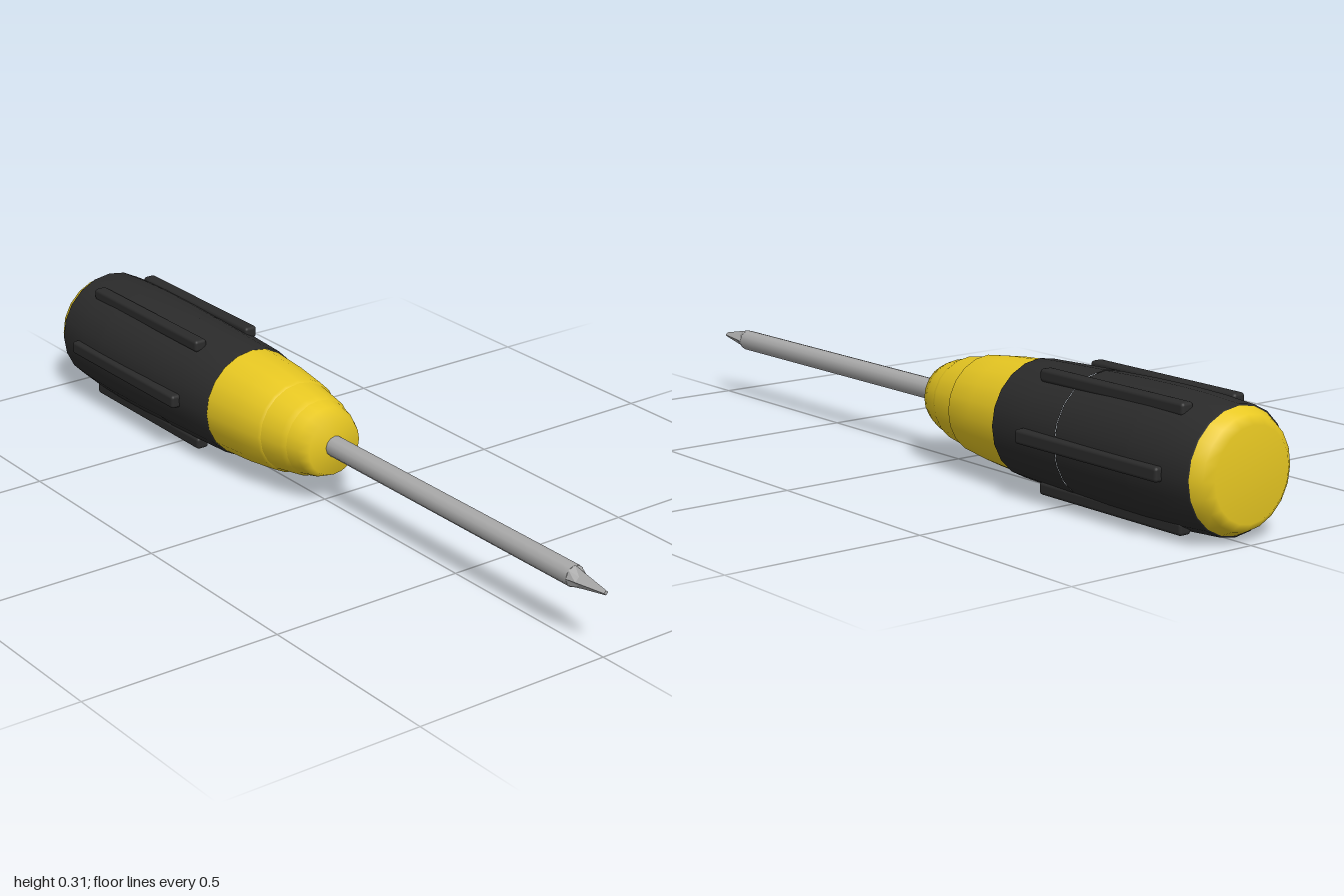
import * as THREE from 'three';
import { RoundedBoxGeometry } from 'three/addons/geometries/RoundedBoxGeometry.js';

const AXIS_Y = 0.156;

export function createModel() {
  const model = new THREE.Group();
  const yellow = new THREE.MeshStandardMaterial({ color: 0xe8c822 });
  const black = new THREE.MeshStandardMaterial({ color: 0x2b2b2b });
  const steel = new THREE.MeshStandardMaterial({ color: 0xaaaaaa });
  const steelFlat = new THREE.MeshStandardMaterial({ color: 0xaaaaaa, flatShading: true });

  const tool = new THREE.Group();
  tool.name = 'screwdriver';
  tool.position.y = AXIS_Y;
  model.add(tool);

  const add = (name, geometry, material) => {
    const mesh = new THREE.Mesh(geometry, material);
    mesh.name = name;
    tool.add(mesh);
    return mesh;
  };

  // One turned section along z; points are [radius, z] from back to front.
  // Separate sections keep a crease where they meet.
  const turned = (name, points, material) => {
    const profile = points.map(([r, z]) => new THREE.Vector2(r, z));
    return add(name, new THREE.LatheGeometry(profile, 20).rotateX(Math.PI / 2), material);
  };

  // Handle: domed end cap, three grip bands, three collar steps
  turned('endCap', [[0, -1], [0.108, -1], [0.128, -0.984], [0.142, -0.955]], yellow);
  turned('gripBack', [[0.14, -0.956], [0.146, -0.953], [0.152, -0.86], [0.154, -0.77]], black);
  turned('gripMiddle', [[0.154, -0.77], [0.153, -0.65], [0.149, -0.53]], black);
  turned('gripFront', [[0.15, -0.53], [0.146, -0.42], [0.141, -0.302], [0.134, -0.3]], black);
  turned('collarBack', [[0.137, -0.302], [0.13, -0.2], [0.119, -0.112], [0.112, -0.104]], yellow);
  turned('collarMiddle', [[0.114, -0.108], [0.103, -0.04], [0.096, -0.025]], yellow);
  turned('collarFront', [[0.097, -0.03], [0.088, 0.008], [0.074, 0.038], [0, 0.041]], yellow);

  // Six grip ribs; all stay square to the world axes
  for (let i = 0; i < 6; i++) {
    const a = (i * Math.PI) / 3;
    const side = i % 3 === 0;
    const rib = add('gripRib', new RoundedBoxGeometry(side ? 0.03 : 0.034, side ? 0.034 : 0.03, 0.47, 2, 0.008), black);
    rib.position.set(Math.cos(a) * 0.151, Math.sin(a) * 0.151, -0.645);
  }

  // Steel shaft
  const shaft = new THREE.CylinderGeometry(0.026, 0.026, 0.88, 12).rotateX(Math.PI / 2);
  add('shaft', shaft, steel).position.z = 0.46;

  // Tip: eight-sided taper whose alternate corners pull in to make a four-sided point
  const tip = new THREE.CylinderGeometry(0.006, 0.026, 0.1, 8, 4);
  const p = tip.attributes.position;
  for (let i = 0; i < p.count; i++) {
    const x = p.getX(i), y = p.getY(i), z = p.getZ(i);
    const diagonal = Math.min(Math.abs(x), Math.abs(z)) > 0.001;
    if (diagonal && y > -0.049) {
      p.setX(i, x * 0.71);
      p.setZ(i, z * 0.71);
    }
  }
  tip.rotateX(Math.PI / 2);
  add('tip', tip, steelFlat).position.z = 0.95;

  return model;
}
